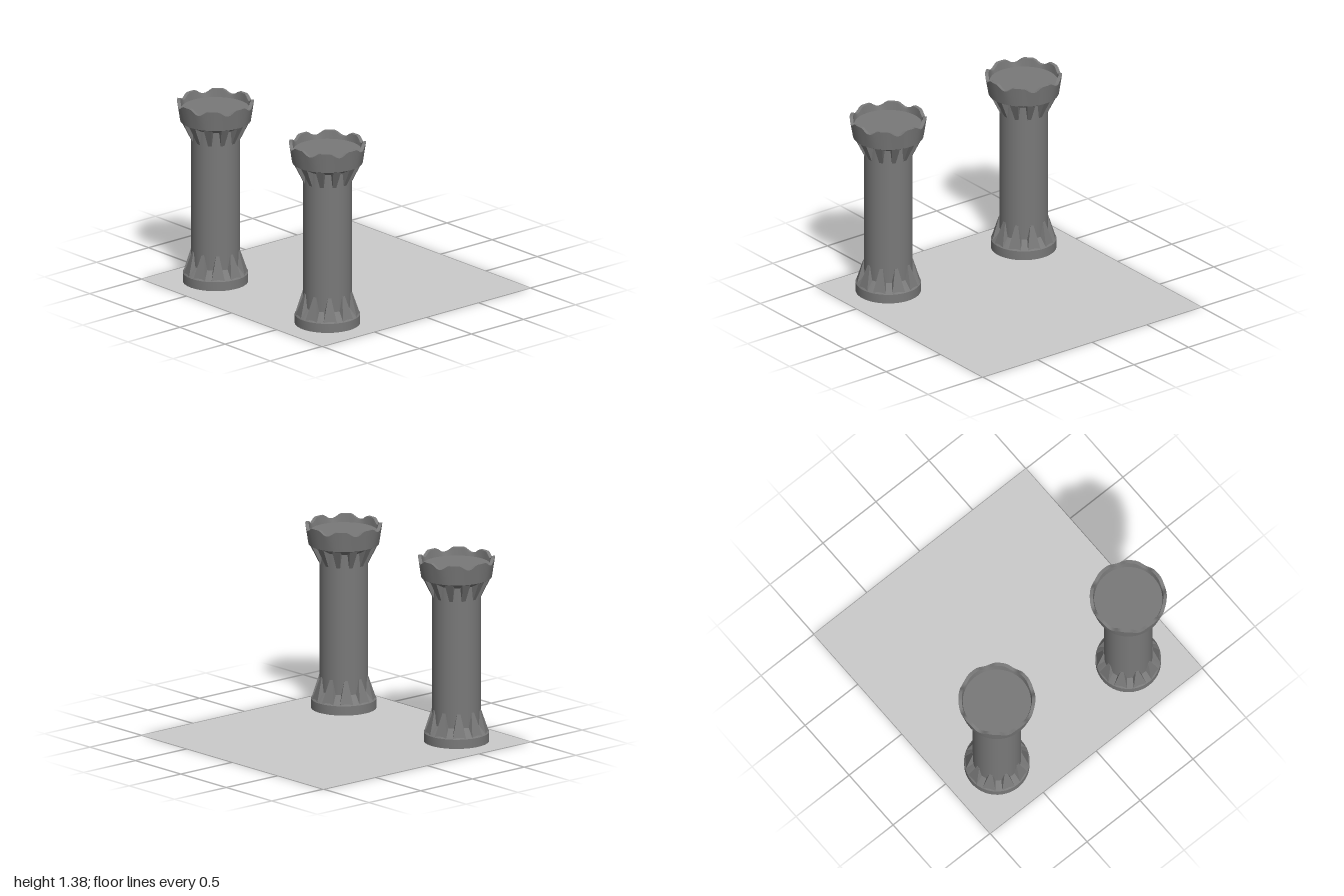
import * as THREE from 'three';
import { toCreasedNormals } from 'three/addons/utils/BufferGeometryUtils.js';

const stone = new THREE.MeshStandardMaterial({ color: 0x797979 });
const groundMaterial = new THREE.MeshStandardMaterial({ color: 0xcccccc, side: THREE.DoubleSide });

const SHAFT_R = 0.177;

function named(name, geometry, material = stone) {
  const mesh = new THREE.Mesh(geometry, material);
  mesh.name = name;
  return mesh;
}

function lathe(points, segments) {
  return new THREE.LatheGeometry(points.map(([r, y]) => new THREE.Vector2(r, y)), segments);
}

const creased = (geometry) => toCreasedNormals(geometry, Math.PI / 6);

// Tapered buttress: each end has its own height, outer radius and half width
function ribGeometry(low, high) {
  const geometry = new THREE.BoxGeometry(2, 2, 2);
  const p = geometry.attributes.position;
  for (let i = 0; i < p.count; i++) {
    const end = p.getY(i) > 0 ? high : low;
    p.setXYZ(i, p.getX(i) * end.half, end.y, p.getZ(i) > 0 ? end.r : 0.15);
  }
  geometry.computeVertexNormals();
  return geometry;
}

function ribRing(name, geometry, count, offset) {
  const ring = new THREE.Group();
  ring.name = name;
  for (let i = 0; i < count; i++) {
    const rib = named('rib', geometry);
    rib.rotation.y = offset + (i / count) * Math.PI * 2;
    ring.add(rib);
  }
  return ring;
}

// Cup-shaped crown whose rim dips in eight scalloped notches
function crownGeometry() {
  const rimY = 1.385;
  const geometry = lathe([
    [SHAFT_R - 0.005, 1.19], [0.257, 1.235], [0.28, rimY],
    [0.255, rimY], [0.248, 1.325], [0, 1.325],
  ], 96);
  const p = geometry.attributes.position;
  for (let i = 0; i < p.count; i++) {
    if (p.getY(i) < rimY - 0.001) continue;
    const wave = -Math.cos(8 * Math.atan2(p.getX(i), p.getZ(i)));
    p.setY(i, rimY - 0.035 * Math.max(0, (wave + 0.3) / 1.3));
  }
  return creased(geometry);
}

function createTower() {
  const tower = new THREE.Group();
  tower.name = 'tower';

  // Round foot with a short slope up to the shaft
  tower.add(named('foot', creased(lathe([
    [0, 0], [0.238, 0], [0.238, 0.07], [SHAFT_R - 0.002, 0.14],
  ], 48))));

  const shaft = named('shaft', new THREE.CylinderGeometry(SHAFT_R, SHAFT_R, 1.17, 40, 1, true));
  shaft.position.y = 0.665;
  tower.add(shaft);

  tower.add(named('crown', crownGeometry()));

  // Buttresses spreading to the foot and brackets carrying the crown
  tower.add(ribRing('footRibs', ribGeometry(
    { y: 0.065, r: 0.232, half: 0.05 }, { y: 0.245, r: 0.179, half: 0.012 },
  ), 10, Math.PI / 10));
  tower.add(ribRing('crownRibs', ribGeometry(
    { y: 1.09, r: 0.178, half: 0.014 }, { y: 1.237, r: 0.25, half: 0.03 },
  ), 12, 0.1));
  return tower;
}

export function createModel() {
  const model = new THREE.Group();
  model.name = 'towersOnGround';

  // Thin square ground
  const ground = named('ground', new THREE.PlaneGeometry(2, 2), groundMaterial);
  ground.rotation.x = -Math.PI / 2;
  ground.position.y = 0.001;
  model.add(ground);

  // Two towers along the front
  for (const [side, name] of [[1, 'leftTower'], [-1, 'rightTower']]) {
    const tower = createTower();
    tower.name = name;
    tower.position.set(side * 0.62, 0, 0.62);
    model.add(tower);
  }
  return model;
}
